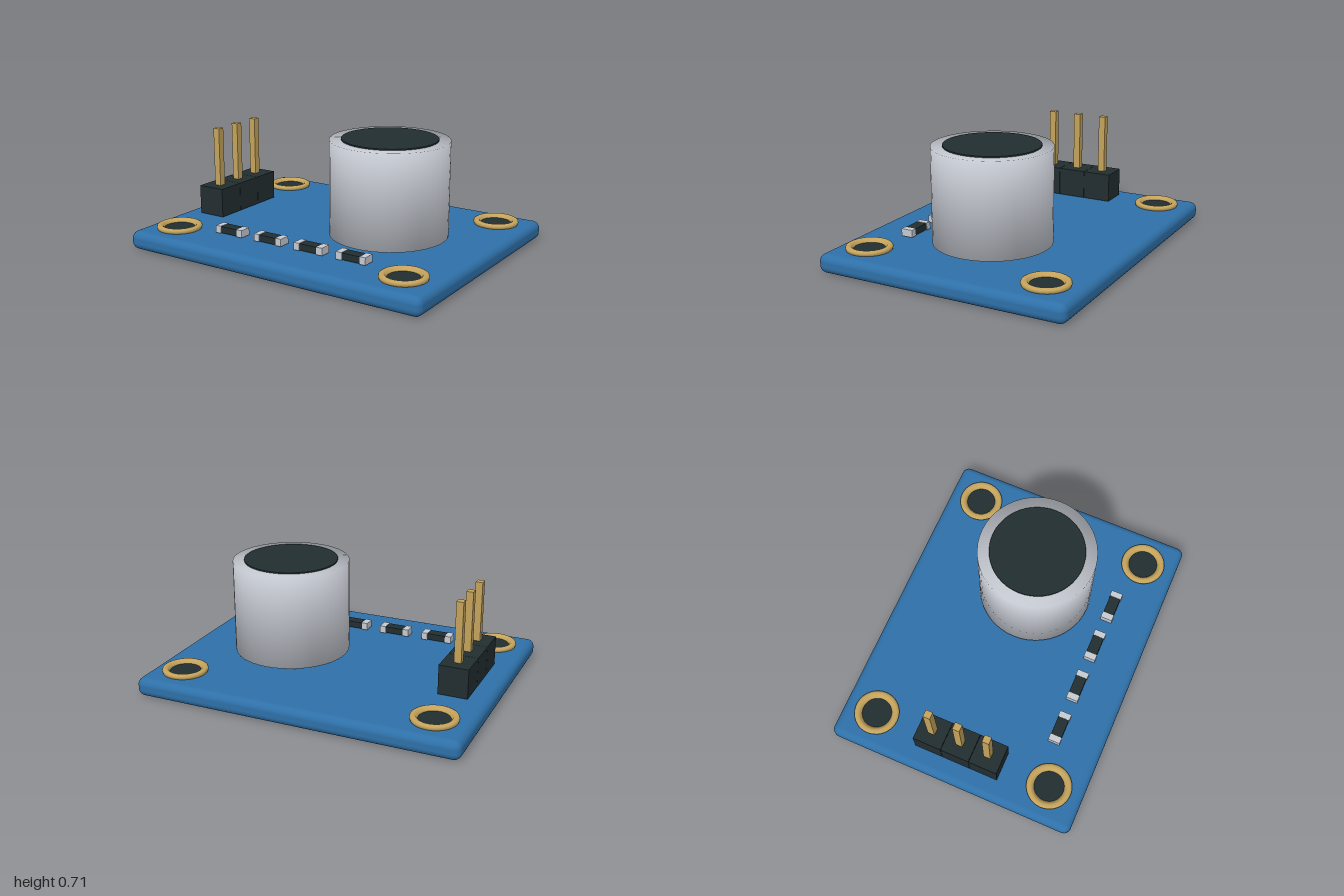
import * as THREE from 'three';
import { RoundedBoxGeometry } from 'three/addons/geometries/RoundedBoxGeometry.js';

const material = (name, color) => {
  const m = new THREE.MeshStandardMaterial({ color });
  m.name = name;
  return m;
};

export function createModel() {
  const blue = material('board blue', 0x2e70a8);
  const dark = material('dark plastic', 0x222e30);
  const silver = material('silver metal', 0xc6cad2);
  const gold = material('gold metal', 0xc4a35c);
  const model = new THREE.Group();
  model.name = 'sensorBoard';

  const add = (parent, name, geometry, mat, x = 0, y = 0, z = 0) => {
    const mesh = new THREE.Mesh(geometry, mat);
    mesh.name = name;
    mesh.position.set(x, y, z);
    parent.add(mesh);
    return mesh;
  };
  const group = (name, x = 0, y = 0, z = 0) => {
    const g = new THREE.Group();
    g.name = name;
    g.position.set(x, y, z);
    model.add(g);
    return g;
  };
  const lathe = (points, segments) =>
    new THREE.LatheGeometry(points.map(([r, y]) => new THREE.Vector2(r, y)), segments);

  // Circuit board with rounded edges
  add(model, 'board', new RoundedBoxGeometry(2, 0.115, 1.57, 4, 0.045), blue, 0, 0.0575, 0);

  // Round metal can with its dark cover disc
  const can = group('capsule', 0.355, 0, 0);
  add(can, 'can', lathe([[0, 0.132], [0.355, 0.132], [0.355, 0.705], [0, 0.705]], 48), silver);
  add(can, 'coverDisc', new THREE.CylinderGeometry(0.285, 0.285, 0.008, 48), dark, 0, 0.709, 0);

  // Mounting holes: gold eyelet around a dark disc
  const eyelet = lathe([
    [0.122, 0.115], [0.134, 0.118], [0.138, 0.13], [0.134, 0.14], [0.124, 0.145],
    [0.112, 0.145], [0.102, 0.14], [0.096, 0.13], [0.091, 0.124], [0.091, 0.115],
  ], 40);
  const holeDisc = new THREE.CylinderGeometry(0.091, 0.091, 0.009, 40);
  for (const x of [-0.786, 0.786]) {
    for (const z of [-0.572, 0.572]) {
      const hole = group('mountingHole', x, 0, z);
      add(hole, 'eyelet', eyelet, gold);
      add(hole, 'holeDisc', holeDisc, dark, 0, 0.119, 0);
    }
  }

  // Pin header: three blocks in a row, each with a square pin
  const header = group('pinHeader', -0.787, 0, 0);
  const block = new THREE.BoxGeometry(0.178, 0.18, 0.178);
  const pin = new THREE.BoxGeometry(0.043, 0.54, 0.043);
  for (const z of [-0.18, 0, 0.18]) {
    add(header, 'headerBlock', block, dark, 0, 0.21, z);
    add(header, 'pin', pin, gold, 0, 0.397, z);
  }

  // Small surface-mounted chips with silver end caps
  const body = new THREE.BoxGeometry(0.12, 0.04, 0.068);
  const cap = new THREE.BoxGeometry(0.038, 0.045, 0.074);
  for (const x of [-0.435, -0.148, 0.138, 0.424]) {
    const chip = group('chipResistor', x, 0.144, 0.495);
    add(chip, 'chipBody', body, dark);
    for (const side of [-1, 1]) add(chip, 'chipEnd', cap, silver, side * 0.078, 0, 0);
  }

  return model;
}
